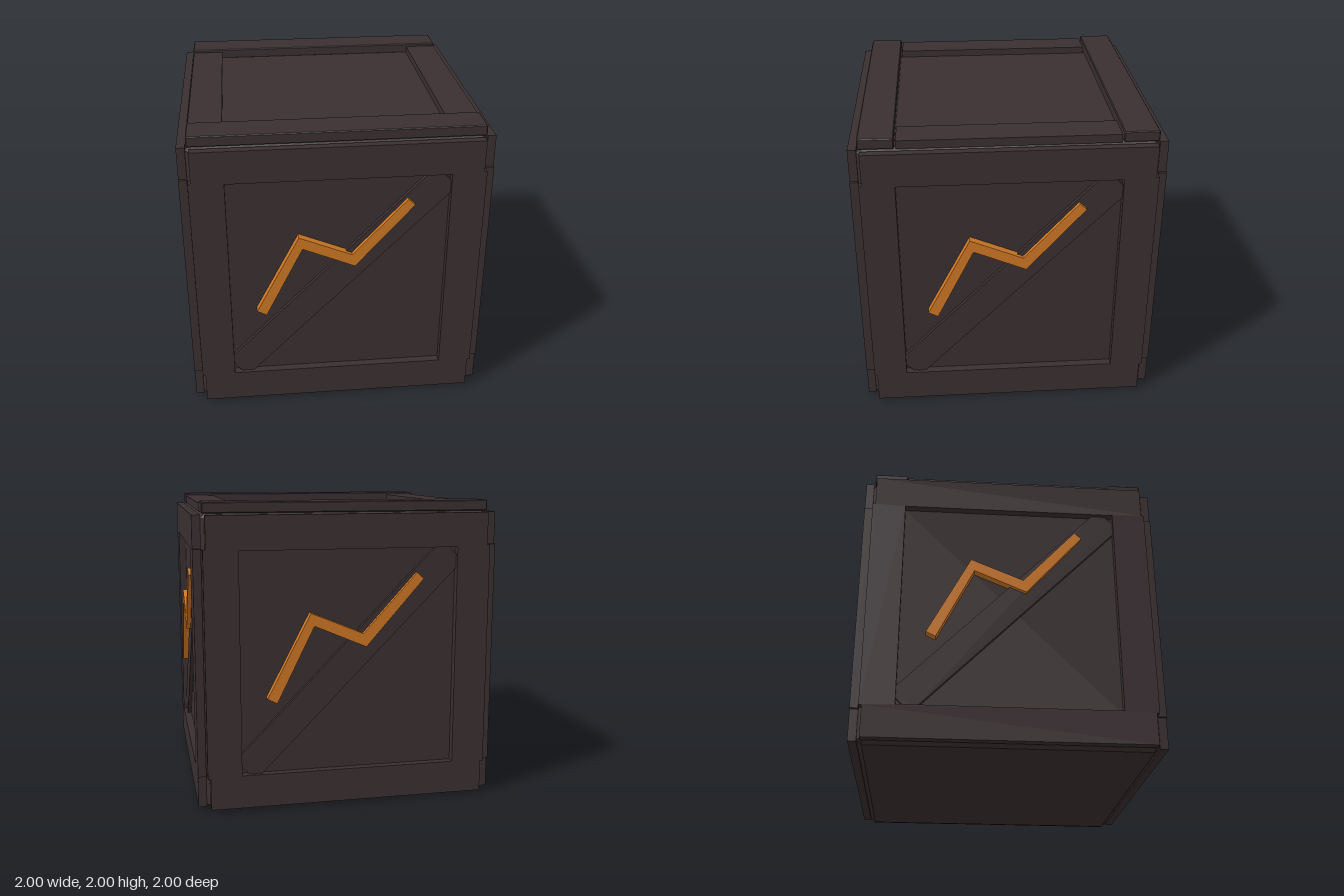
import * as THREE from 'three';
import { ConvexGeometry } from 'three/addons/geometries/ConvexGeometry.js';

const wood = new THREE.MeshStandardMaterial({ color: 0x3a2f31 });
wood.name = 'darkWood';
const orange = new THREE.MeshStandardMaterial({ color: 0xcf7824 });
orange.name = 'orange';

const part = (name, geometry, material) => {
  const mesh = new THREE.Mesh(geometry, material);
  mesh.name = name;
  return mesh;
};

const outline = (points) => points.map(([x, y]) => new THREE.Vector2(x, y));

// Flat plate cut from a polygon, reaching from depth z0 to z1
function plate(points, z0, z1, hole) {
  const shape = new THREE.Shape(outline(points));
  if (hole) shape.holes.push(new THREE.Path(outline(hole)));
  const geometry = new THREE.ExtrudeGeometry(shape, { depth: z1 - z0, bevelEnabled: false });
  return geometry.translate(0, 0, z0);
}

// Box with every edge chamfered by c
function chamferedBox(w, h, d, c) {
  const points = [];
  for (const sx of [-1, 1]) for (const sy of [-1, 1]) for (const sz of [-1, 1]) {
    const [x, y, z] = [w / 2, h / 2, d / 2];
    points.push(
      new THREE.Vector3(sx * x, sy * (y - c), sz * (z - c)),
      new THREE.Vector3(sx * (x - c), sy * y, sz * (z - c)),
      new THREE.Vector3(sx * (x - c), sy * (y - c), sz * z));
  }
  return new ConvexGeometry(points);
}

// One decorated wall: frame, diagonal brace and zigzag emblem, facing +z
function createSide() {
  const side = new THREE.Group();
  const [left, right, low, high] = [-0.715, 0.715, 0.24, 1.7];

  // Frame whose upright edges stand slightly proud of its rails
  const frame = [
    [-0.92, 0.02], [0.92, 0.02], [0.92, 0.23], [0.938, 0.23], [0.938, 1.71], [0.92, 1.71],
    [0.92, 1.922], [-0.92, 1.922], [-0.92, 1.71], [-0.938, 1.71], [-0.938, 0.23], [-0.92, 0.23],
  ];
  const opening = [[left, low], [left, high], [right, high], [right, low]];
  side.add(part('frame', plate(frame, 0.943, 0.997, opening), wood));

  // Diagonal brace with clipped ends
  const brace = [
    [left, 0.29], [-0.665, low], [-0.58, low], [right, 1.56],
    [right, 1.65], [0.665, high], [0.57, high], [left, 0.375],
  ];
  side.add(part('diagonalBrace', plate(brace, 0.94, 0.972), wood));

  // Raised zigzag
  const zigzag = [
    [-0.545, 0.745], [-0.482, 0.712], [-0.237, 1.21], [0.107, 1.062],
    [0.488, 1.498], [0.442, 1.54], [0.087, 1.15], [-0.26, 1.295],
  ];
  side.add(part('zigzag', plate(zigzag, 0.94, 1), orange));
  return side;
}

export function createModel() {
  const model = new THREE.Group();
  model.name = 'crate';

  // Solid body
  model.add(part('body', chamferedBox(1.89, 1.935, 1.89, 0.035).translate(0, 0.9675, 0), wood));

  // Four identical walls
  ['frontSide', 'leftSide', 'backSide', 'rightSide'].forEach((name, i) => {
    const side = createSide();
    side.name = name;
    side.rotation.y = i * Math.PI / 2;
    model.add(side);
  });

  // Lid rim: tall boards front and back, lower boards between them
  for (const s of [-1, 1]) {
    const rail = part('lidRail', chamferedBox(1.87, 0.07, 0.225, 0.006), wood);
    rail.position.set(0, 1.965, s * 0.823);
    const stile = part('lidStile', new THREE.BoxGeometry(0.215, 0.055, 1.4), wood);
    stile.position.set(s * 0.8225, 1.955, 0);
    model.add(rail, stile);
  }
  return model;
}
